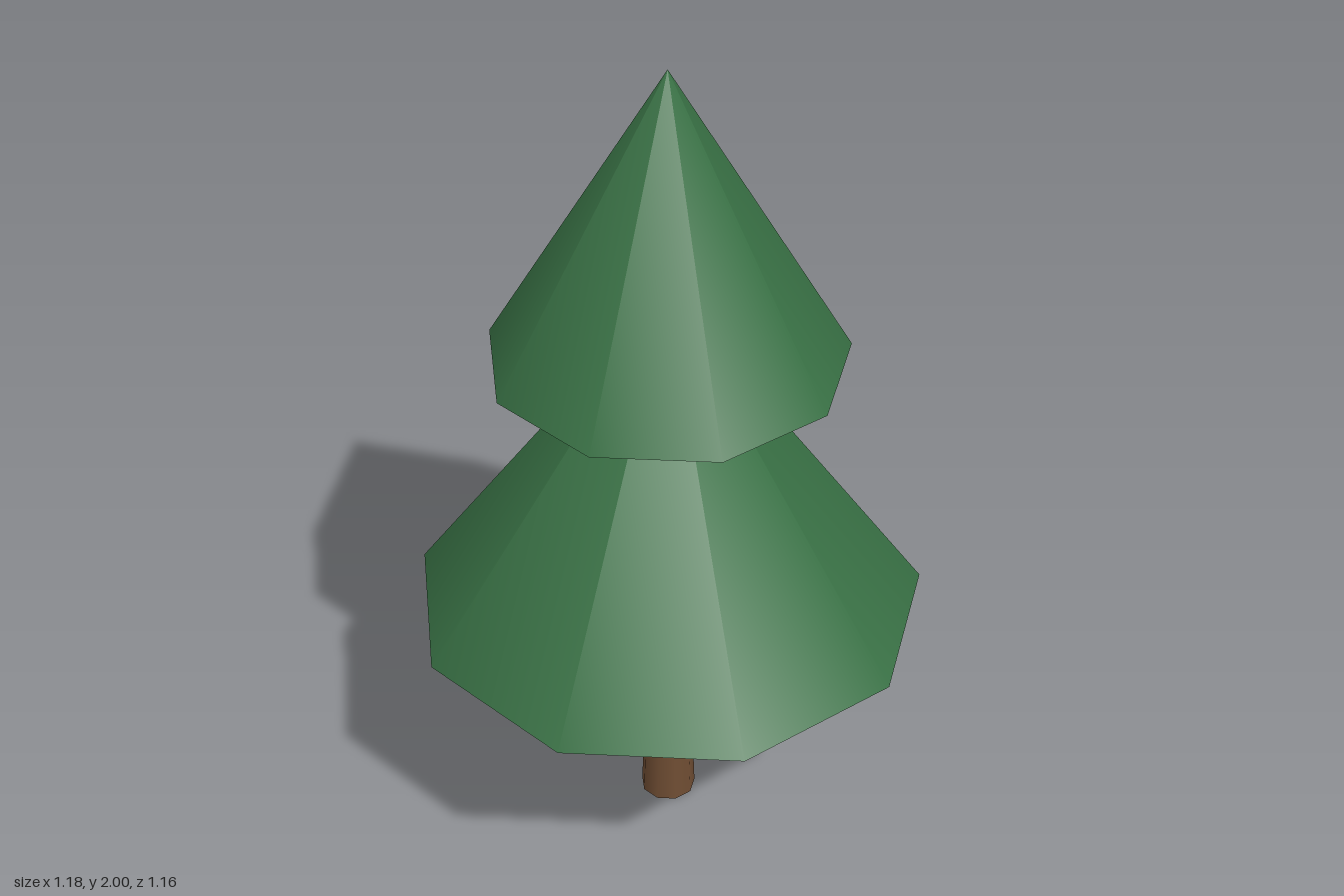
import * as THREE from 'three';

const SIDES = 9;

export function createModel() {
  const tree = new THREE.Group();
  tree.name = 'pineTree';

  const bark = new THREE.MeshStandardMaterial({ color: 0x6f4d33 });
  bark.name = 'bark brown';
  const needles = new THREE.MeshStandardMaterial({ color: 0x387044 });
  needles.name = 'needle green';

  // Tapered nine-sided part standing on the given base height
  function addTaper(name, topRadius, bottomRadius, base, height, material) {
    const geometry = new THREE.CylinderGeometry(topRadius, bottomRadius, height, SIDES);
    const mesh = new THREE.Mesh(geometry, material);
    mesh.name = name;
    mesh.position.y = base + height / 2;
    tree.add(mesh);
  }

  // Trunk, reaching a little into the foliage
  addTaper('trunk', 0.043, 0.066, 0, 0.66, bark);

  // Two stacked foliage cones
  addTaper('lowerFoliage', 0, 0.6, 0.61, 0.85, needles);
  addTaper('upperFoliage', 0, 0.41, 1.29, 0.71, needles);

  // The odd side count puts the axis slightly behind the centre
  for (const part of tree.children) part.position.z = -0.02;

  return tree;
}
